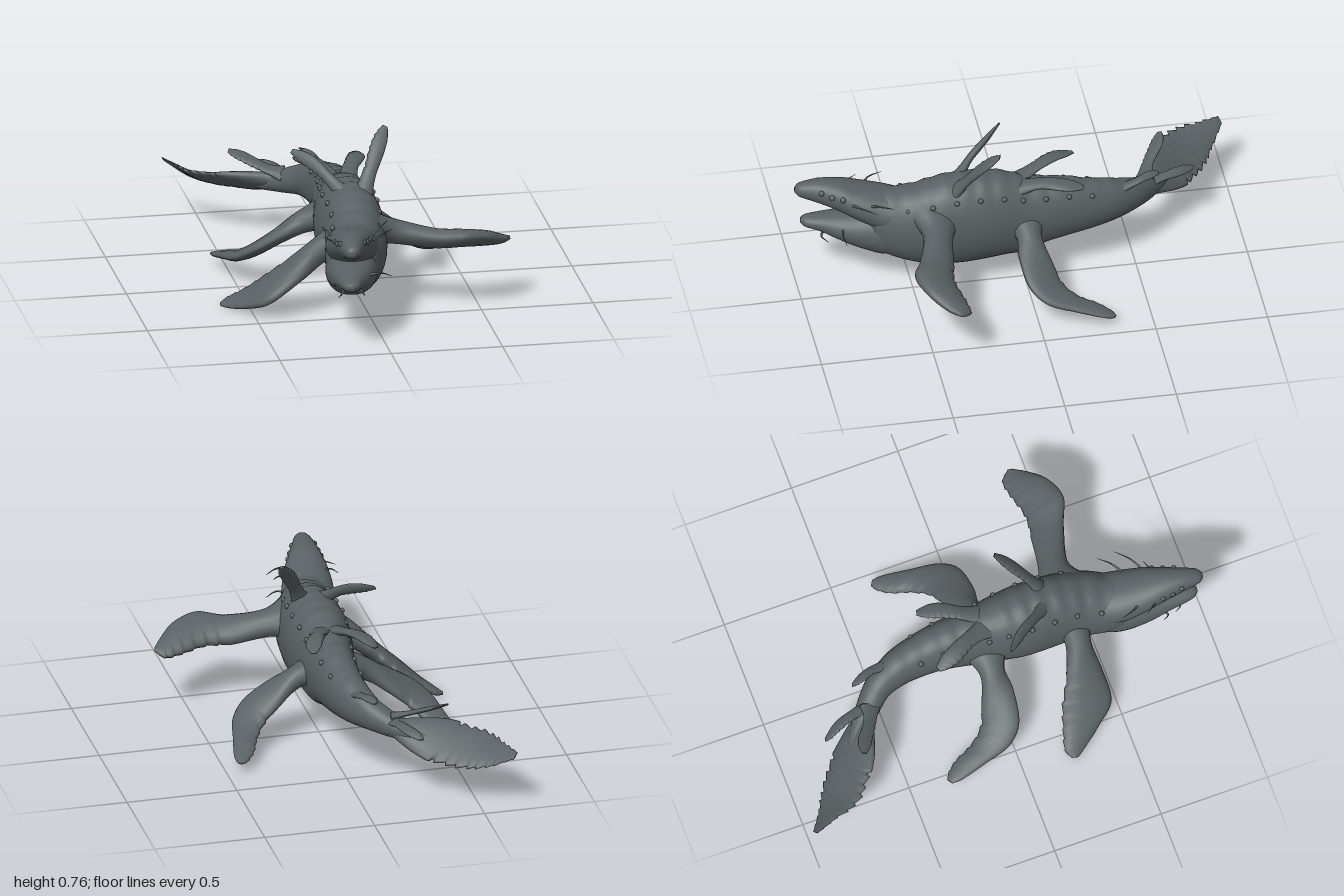
import * as THREE from 'three';

const V = (a) => new THREE.Vector3(...a);
const spline = (pts) => new THREE.CatmullRomCurve3(pts.map(V), false, 'catmullrom', 0.5);

// Closed skin over a list of rings, capped at both ends and facing outwards
function loft(rings) {
  const n = rings[0].length, pos = [], idx = [];
  rings.forEach((r) => r.forEach((p) => pos.push(p.x, p.y, p.z)));
  for (let i = 0; i < rings.length - 1; i++) {
    for (let j = 0; j < n; j++) {
      const a = i * n + j, b = i * n + ((j + 1) % n);
      idx.push(a, b, a + n, b, b + n, a + n);
    }
  }
  [0, rings.length - 1].forEach((k) => {
    const c = new THREE.Vector3();
    rings[k].forEach((p) => c.addScaledVector(p, 1 / n));
    const ci = pos.length / 3;
    pos.push(c.x, c.y, c.z);
    for (let j = 0; j < n; j++) {
      const a = k * n + j, b = k * n + ((j + 1) % n);
      if (k === 0) idx.push(ci, b, a); else idx.push(ci, a, b);
    }
  });
  let volume = 0;
  const at = (i) => new THREE.Vector3().fromArray(pos, i * 3);
  for (let i = 0; i < idx.length; i += 3) volume += at(idx[i]).dot(at(idx[i + 1]).cross(at(idx[i + 2])));
  if (volume < 0) idx.reverse();
  const g = new THREE.BufferGeometry();
  g.setAttribute('position', new THREE.Float32BufferAttribute(pos, 3));
  g.setIndex(idx);
  g.computeVertexNormals();
  return g;
}

// Body section stations: [x, y, z, half width, half height]
function trunk(stations, steps, ripple = 0) {
  const path = spline(stations.map((s) => s.slice(0, 3)));
  const size = spline(stations.map((s) => [s[3], s[4], 0]));
  const rings = [];
  for (let i = 0; i <= steps; i++) {
    const t = i / steps, c = path.getPoint(t), r = size.getPoint(t), d = path.getTangent(t);
    const side = new THREE.Vector3(-d.z, 0, d.x).normalize();
    const ring = [];
    for (let j = 0; j < 32; j++) {
      const a = (j / 32) * Math.PI * 2, s = Math.sin(a), co = Math.cos(a);
      const w = Math.sign(co) * Math.abs(co) ** 0.9;
      const h = s * (1 + (s > 0 ? ripple * s * Math.sin(c.z * 75) : 0));
      ring.push(c.clone().addScaledVector(side, r.x * w).add(new THREE.Vector3(0, r.y * h, 0)));
    }
    rings.push(ring);
  }
  return loft(rings);
}

// Fin between a leading and a trailing edge; both edges can be notched
function fin(lead, trail, thick, { teeth = 12, notch = 0.05, both = false } = {}) {
  const A = spline(lead), B = spline(trail), T = spline(thick.map((t) => [t, 0, 0]));
  const steps = 72, rings = [];
  for (let i = 0; i <= steps; i++) {
    const t = i / steps, a = A.getPoint(t), b = B.getPoint(t);
    const cut = t > 0.35 ? notch * ((t * teeth) % 1) : 0;
    const tangent = A.getTangent(t).add(B.getTangent(t));
    const full = a.clone().sub(b);
    b.addScaledVector(full, cut);
    if (both) a.addScaledVector(full, -cut);
    const c = a.clone().add(b).multiplyScalar(0.5), half = a.sub(b).multiplyScalar(0.5);
    const normal = half.clone().cross(tangent).normalize().multiplyScalar(Math.max(T.getPoint(t).x, 0.002));
    const ring = [];
    for (let j = 0; j < 16; j++) {
      const q = (j / 16) * Math.PI * 2;
      ring.push(c.clone().addScaledVector(half, Math.cos(q)).addScaledVector(normal, Math.sin(q)));
    }
    rings.push(ring);
  }
  return loft(rings);
}

// Small blunt fin along a path, widened along one direction and flared at its root
function leaf(path, width, thick = 0.016) {
  const c = spline(path), w = V(width), lead = [], trail = [];
  [1.5, 1.05, 0.9, 1, 1.05, 0.9, 0.4].forEach((k, i) => {
    const p = c.getPoint(i / 6);
    lead.push(p.clone().addScaledVector(w, k).toArray());
    trail.push(p.clone().addScaledVector(w, -k).toArray());
  });
  return fin(lead, trail, [thick * 2, thick * 1.1, thick, thick * 0.75, 0.004], { teeth: 10, notch: 0.09 });
}

export function createModel() {
  const group = new THREE.Group();
  const hide = new THREE.MeshStandardMaterial({ color: 0x596164 });
  hide.name = 'slate hide';
  const add = (name, geometry) => {
    const m = new THREE.Mesh(geometry, hide);
    m.name = name;
    group.add(m);
    return m;
  };

  // Body running back into the curved tail
  const bodyStations = [
    [-0.115, 0.33, 0.69, 0.075, 0.1], [-0.108, 0.325, 0.64, 0.108, 0.145], [-0.092, 0.32, 0.58, 0.124, 0.163],
    [-0.06, 0.322, 0.48, 0.137, 0.19], [-0.048, 0.33, 0.38, 0.142, 0.213], [-0.045, 0.335, 0.28, 0.147, 0.222],
    [-0.045, 0.337, 0.18, 0.147, 0.217], [-0.042, 0.335, 0.08, 0.134, 0.204], [-0.04, 0.325, 0, 0.122, 0.187],
    [-0.037, 0.335, -0.1, 0.11, 0.16], [-0.037, 0.34, -0.2, 0.098, 0.142], [-0.045, 0.335, -0.3, 0.088, 0.12],
    [-0.065, 0.33, -0.4, 0.077, 0.1], [-0.11, 0.315, -0.5, 0.062, 0.075], [-0.19, 0.285, -0.585, 0.052, 0.053],
    [-0.28, 0.262, -0.66, 0.04, 0.032], [-0.36, 0.25, -0.73, 0.012, 0.01],
  ];
  add('body', trunk(bodyStations, 150, 0.015));

  // Open jaws, meeting at the mouth corner and running into the cheeks
  add('upperJaw', trunk([
    [-0.17, 0.483, 1.0, 0.012, 0.012], [-0.168, 0.482, 0.975, 0.034, 0.032], [-0.157, 0.476, 0.9, 0.055, 0.053],
    [-0.142, 0.457, 0.81, 0.08, 0.069], [-0.127, 0.428, 0.73, 0.102, 0.079], [-0.105, 0.39, 0.62, 0.117, 0.092],
    [-0.07, 0.37, 0.52, 0.11, 0.09],
  ], 50));
  add('lowerJaw', trunk([
    [-0.17, 0.315, 0.975, 0.012, 0.01], [-0.167, 0.312, 0.95, 0.035, 0.025], [-0.157, 0.306, 0.88, 0.056, 0.04],
    [-0.142, 0.296, 0.81, 0.08, 0.061], [-0.127, 0.285, 0.73, 0.102, 0.086], [-0.105, 0.28, 0.62, 0.117, 0.115],
    [-0.07, 0.29, 0.52, 0.11, 0.12],
  ], 50));

  // Front flippers, posed differently on each side
  add('frontLeftFlipper', fin(
    [[0.02, 0.43, 0.53], [0.13, 0.395, 0.475], [0.3, 0.37, 0.52], [0.42, 0.38, 0.565], [0.53, 0.36, 0.53], [0.6, 0.325, 0.47], [0.645, 0.305, 0.41]],
    [[0.02, 0.35, 0.28], [0.13, 0.34, 0.345], [0.3, 0.305, 0.37], [0.42, 0.3, 0.38], [0.53, 0.285, 0.355], [0.61, 0.28, 0.345], [0.65, 0.3, 0.385]],
    [0.075, 0.055, 0.045, 0.04, 0.034, 0.022, 0.008]));
  add('frontRightFlipper', fin(
    [[-0.08, 0.32, 0.52], [-0.2, 0.28, 0.455], [-0.32, 0.185, 0.47], [-0.45, 0.09, 0.47], [-0.53, 0.042, 0.38], [-0.59, 0.02, 0.3], [-0.625, 0.014, 0.25]],
    [[-0.08, 0.4, 0.28], [-0.2, 0.33, 0.345], [-0.31, 0.24, 0.31], [-0.41, 0.15, 0.25], [-0.5, 0.08, 0.22], [-0.58, 0.035, 0.2], [-0.62, 0.018, 0.22]],
    [0.075, 0.058, 0.042, 0.034, 0.026, 0.017, 0.006]));

  // Rear flippers, mirrored about the body line
  const rearLead = [[0, 0.32, 0.11], [0.1, 0.295, 0.055], [0.2, 0.26, 0.06], [0.33, 0.19, 0.04], [0.4, 0.135, -0.03], [0.43, 0.1, -0.15], [0.455, 0.07, -0.27], [0.455, 0.06, -0.32]];
  const rearTrail = [[0, 0.33, -0.11], [0.1, 0.29, -0.06], [0.2, 0.205, -0.09], [0.28, 0.135, -0.13], [0.33, 0.095, -0.2], [0.36, 0.075, -0.27], [0.4, 0.058, -0.32], [0.43, 0.053, -0.335]];
  const flip = (pts) => pts.map(([x, y, z]) => [-x - 0.11, y, z]);
  const rearThickness = [0.07, 0.05, 0.036, 0.03, 0.025, 0.02, 0.013, 0.006];
  add('rearLeftFlipper', fin(rearLead, rearTrail, rearThickness));
  add('rearRightFlipper', fin(flip(rearLead), flip(rearTrail), rearThickness));

  // Paired fins on the back
  add('shoulderLeftFin', leaf([[0, 0.5, 0.31], [0.045, 0.6, 0.255], [0.09, 0.69, 0.195], [0.135, 0.765, 0.135]], [0.03, -0.012, 0.012]));
  add('shoulderRightFin', leaf([[-0.08, 0.51, 0.29], [-0.14, 0.575, 0.22], [-0.2, 0.62, 0.14], [-0.27, 0.65, 0.065]], [0.016, 0.024, -0.004]));
  add('hipLeftFin', leaf([[-0.015, 0.475, 0.03], [0.02, 0.515, -0.07], [0.06, 0.525, -0.16], [0.085, 0.515, -0.25]], [0.036, -0.006, 0.012]));
  add('hipRightFin', leaf([[-0.07, 0.475, 0.03], [-0.11, 0.515, -0.07], [-0.16, 0.525, -0.16], [-0.195, 0.51, -0.25]], [0.036, 0.006, -0.014]));

  // Tail blade and small tail fins
  add('tailBlade', fin(
    [[-0.22, 0.31, -0.575], [-0.4, 0.315, -0.625], [-0.5, 0.305, -0.685], [-0.59, 0.295, -0.77], [-0.625, 0.29, -0.89], [-0.655, 0.285, -0.985]],
    [[-0.16, 0.26, -0.6], [-0.24, 0.21, -0.72], [-0.32, 0.185, -0.81], [-0.43, 0.18, -0.89], [-0.53, 0.2, -0.94], [-0.63, 0.255, -1]],
    [0.035, 0.03, 0.02, 0.014, 0.009, 0.004], { teeth: 13, notch: 0.09, both: true }));
  add('tailLeftFin', leaf([[-0.05, 0.38, -0.42], [-0.06, 0.405, -0.5], [-0.08, 0.42, -0.56], [-0.1, 0.415, -0.62]], [0.025, -0.006, 0.008], 0.011));
  add('tailRightFin', leaf([[-0.19, 0.32, -0.57], [-0.27, 0.345, -0.6], [-0.35, 0.38, -0.65], [-0.415, 0.405, -0.68]], [0.012, 0.012, -0.028], 0.011));
  add('tailMiddleFin', leaf([[-0.17, 0.3, -0.57], [-0.2, 0.32, -0.66], [-0.23, 0.32, -0.74], [-0.262, 0.305, -0.805]], [0.03, -0.006, 0.01], 0.011));

  // Eye knobs along both sides of the snout
  [[0.89, 0.495, 0.013], [0.845, 0.48, 0.015], [0.8, 0.475, 0.014], [0.765, 0.46, 0.01]].forEach(([z, y, r]) => {
    const cx = -0.155 + (0.9 - z) * 0.18, w = 0.048 + (0.9 - z) * 0.25;
    [1, -1].forEach((s) => add('eye', new THREE.SphereGeometry(r, 12, 8)).position.set(cx + s * w, y, z));
  });

  // Horny knobs in rows down the back
  const line = spline(bodyStations.map((s) => s.slice(0, 3)));
  const girth = spline(bodyStations.map((s) => [s[3], s[4], 0]));
  for (let i = 0; i < 9; i++) {
    const t = 0.16 + i * 0.066, c = line.getPoint(t), r = girth.getPoint(t);
    [0.75, 2.39].forEach((a) => {
      const knob = add('backKnob', new THREE.SphereGeometry(0.012, 10, 8));
      knob.position.set(c.x + Math.cos(a) * r.x * 1.04, c.y + Math.sin(a) * r.y, c.z);
    });
  }

  // Whiskers at the cheeks and barbels under the chin
  const whisker = (name, a, b, c) => {
    const curve = spline([a, b, c]), rings = [];
    for (let i = 0; i <= 10; i++) {
      const p = curve.getPoint(i / 10), r = 0.006 * (1 - i / 10) + 0.0008;
      const d = curve.getTangent(i / 10), u = d.clone().cross(V([0.3, 0.2, 1])).normalize(), v = d.cross(u).normalize();
      rings.push([0, 1, 2, 3, 4, 5].map((k) => p.clone().addScaledVector(u, r * Math.cos(k * 1.0472)).addScaledVector(v, r * Math.sin(k * 1.0472))));
    }
    add(name, loft(rings));
  };
  whisker('whisker', [-0.19, 0.45, 0.7], [-0.22, 0.475, 0.66], [-0.24, 0.48, 0.6]);
  whisker('whisker', [-0.19, 0.45, 0.79], [-0.22, 0.465, 0.76], [-0.255, 0.47, 0.71]);
  whisker('whisker', [-0.03, 0.45, 0.68], [0.02, 0.475, 0.64], [0.06, 0.485, 0.59]);
  whisker('whisker', [-0.06, 0.45, 0.77], [0.01, 0.47, 0.73], [0.07, 0.475, 0.67]);
  whisker('barbel', [-0.07, 0.31, 0.8], [-0.01, 0.32, 0.81], [0.04, 0.3, 0.8]);
  whisker('barbel', [-0.19, 0.28, 0.88], [-0.2, 0.26, 0.885], [-0.21, 0.235, 0.86]);
  whisker('barbel', [-0.12, 0.28, 0.88], [-0.105, 0.26, 0.89], [-0.09, 0.235, 0.86]);
  whisker('barbel', [-0.2, 0.28, 0.8], [-0.225, 0.28, 0.82], [-0.25, 0.3, 0.79]);

  return group;
}
